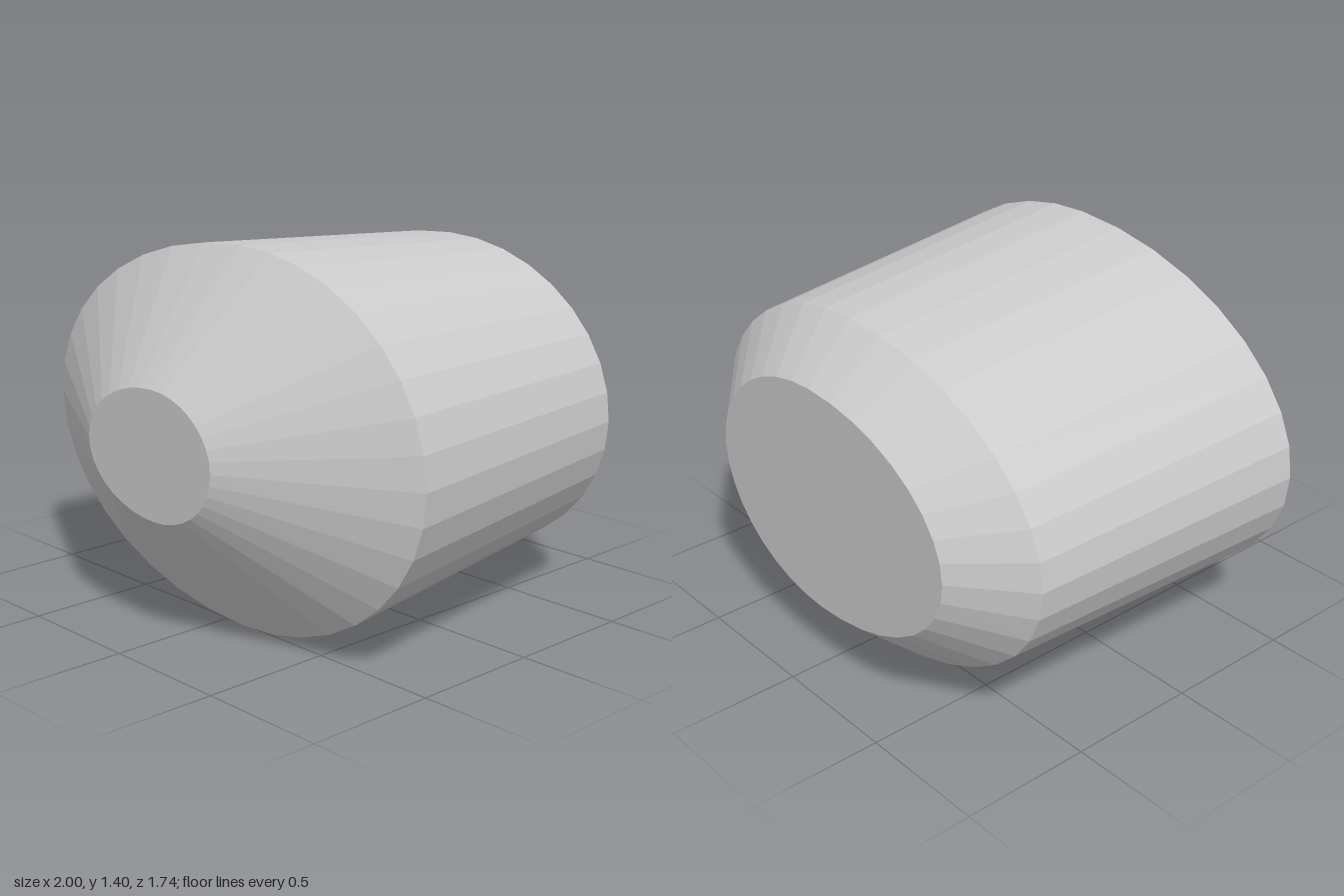
import * as THREE from 'three';

const SIDES = 36;

// Cross-sections from back to front: depth, centre x, reach to -x, reach to +x, half height
const SECTIONS = [
  { z: -0.87, cx: -0.02, left: 0.70, right: 0.57, h: 0.44 },
  { z: -0.66, cx: 0.02, left: 0.99, right: 0.81, h: 0.627 },
  { z: 0.51, cx: 0.10, left: 1.10, right: 0.90, h: 0.70 },
  { z: 0.87, cx: 0.05, left: 0.37, right: 0.31, h: 0.236 },
];

// Point on an egg-shaped section, wider towards -x
function ringPoint({ z, cx, left, right, h }, i) {
  const a = (i / SIDES) * Math.PI * 2;
  const c = Math.cos(a);
  return [cx + c * (c < 0 ? left : right), 0.7 + h * Math.sin(a), z];
}

// Faceted band between two neighbouring sections
function band(back, front) {
  const pos = [];
  for (let i = 0; i < SIDES; i++) {
    const a = ringPoint(back, i), b = ringPoint(back, i + 1);
    const c = ringPoint(front, i + 1), d = ringPoint(front, i);
    pos.push(...a, ...b, ...c, ...a, ...c, ...d);
  }
  return pos;
}

// Flat end closing a section
function cap(section, facesFront) {
  const pos = [], centre = [section.cx, 0.7, section.z];
  for (let i = 0; i < SIDES; i++) {
    const a = ringPoint(section, i), b = ringPoint(section, i + 1);
    pos.push(...centre, ...(facesFront ? a : b), ...(facesFront ? b : a));
  }
  return pos;
}

export function createModel() {
  const group = new THREE.Group();
  group.name = 'taperedBarrel';
  const material = new THREE.MeshStandardMaterial({ color: 0xcccccc, flatShading: true });

  const add = (name, positions) => {
    const geometry = new THREE.BufferGeometry();
    geometry.setAttribute('position', new THREE.Float32BufferAttribute(positions, 3));
    geometry.computeVertexNormals();
    const mesh = new THREE.Mesh(geometry, material);
    mesh.name = name;
    group.add(mesh);
  };

  // Tapered bands, back to front
  ['backBevel', 'body', 'frontCone'].forEach((name, s) => add(name, band(SECTIONS[s], SECTIONS[s + 1])));

  // Flat ends
  add('backCap', cap(SECTIONS[0], false));
  add('frontCap', cap(SECTIONS[3], true));
  return group;
}
